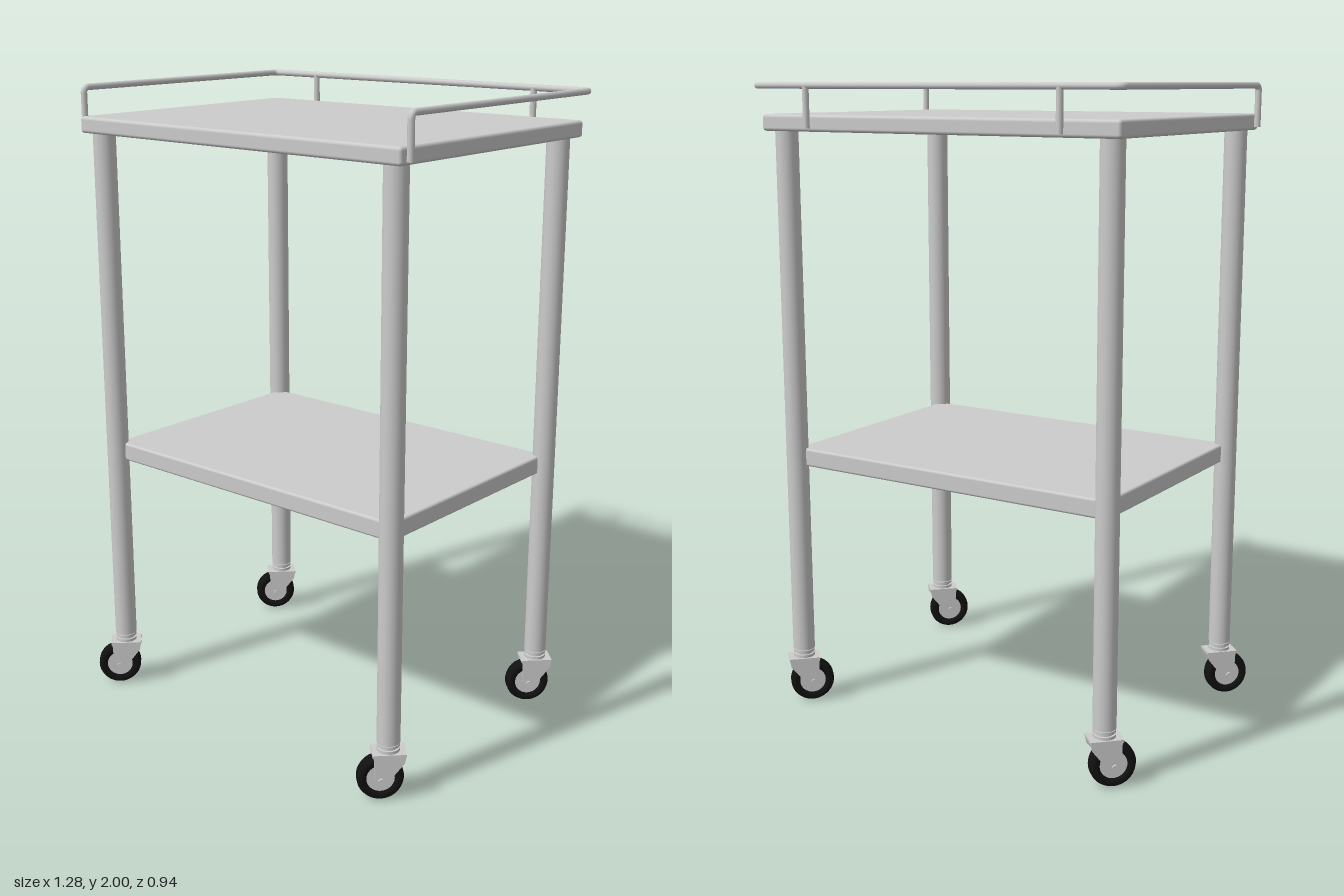
import * as THREE from 'three';
import { RoundedBoxGeometry } from 'three/addons/geometries/RoundedBoxGeometry.js';

const grey = new THREE.MeshStandardMaterial({ color: 0xcccccc });
const black = new THREE.MeshStandardMaterial({ color: 0x111111 });
const CX = 0.005, CZ = -0.005; // centre of the frame
const LEG_X = 0.565, LEG_Z = 0.394, LEG_R = 0.035;

function add(parent, name, geometry, x = 0, y = 0, z = 0, material = grey) {
  const mesh = new THREE.Mesh(geometry, material);
  mesh.name = name;
  mesh.position.set(x, y, z);
  parent.add(mesh);
  return mesh;
}

const cylinder = (r, h, n = 32) => new THREE.CylinderGeometry(r, r, h, n);

// Polyline whose inner corners are replaced by small bends
function bentPath(points, r) {
  const path = new THREE.CurvePath();
  let start = points[0];
  for (let i = 1; i < points.length - 1; i++) {
    const p = points[i];
    const before = p.clone().add(points[i - 1].clone().sub(p).setLength(r));
    const after = p.clone().add(points[i + 1].clone().sub(p).setLength(r));
    path.add(new THREE.LineCurve3(start, before));
    path.add(new THREE.QuadraticBezierCurve3(before, p, after));
    start = after;
  }
  path.add(new THREE.LineCurve3(start, points[points.length - 1]));
  return path;
}

// Swivel caster: local x is the rolling direction, local z the axle, origin under the leg
function createCaster() {
  const caster = new THREE.Group();
  caster.name = 'caster';
  const wx = 0.024, wy = 0.07;

  // Stem with collar rings
  add(caster, 'stem', cylinder(0.027, 0.04), 0, 0.167, 0);
  for (const y of [0.16, 0.175]) {
    add(caster, 'collarRing', cylinder(0.034, 0.009), 0, y, 0);
  }

  // Fork: top plate and two tapering cheeks
  add(caster, 'forkPlate', new THREE.BoxGeometry(0.1, 0.008, 0.068), 0, 0.149, 0);
  const cheek = new THREE.Shape();
  cheek.moveTo(-0.05, 0.152);
  cheek.lineTo(-0.045, 0.125);
  cheek.lineTo(wx - 0.019, wy - 0.008);
  cheek.absarc(wx, wy, 0.02, Math.PI * 1.13, Math.PI * 2, false);
  cheek.lineTo(0.045, 0.135);
  cheek.lineTo(0.05, 0.152);
  cheek.closePath();
  const cheekGeometry = new THREE.ExtrudeGeometry(cheek, { depth: 0.005, bevelEnabled: false });
  for (const z of [0.029, -0.034]) add(caster, 'forkCheek', cheekGeometry, 0, 0, z);
  add(caster, 'axle', cylinder(0.009, 0.08, 16), wx, wy, 0).rotation.x = Math.PI / 2;

  // Tyre with rounded shoulders, and hub disc
  const profile = [[0.042, -0.018], [0.05, -0.024], [0.06, -0.024], [0.066, -0.02], [0.07, -0.01],
    [0.07, 0.01], [0.066, 0.02], [0.06, 0.024], [0.05, 0.024], [0.042, 0.018], [0.042, -0.018]]
    .map(([r, h]) => new THREE.Vector2(r, h));
  add(caster, 'tyre', new THREE.LatheGeometry(profile, 40), wx, wy, 0, black).rotation.x = Math.PI / 2;
  add(caster, 'wheelDisc', cylinder(0.043, 0.034), wx, wy, 0).rotation.x = Math.PI / 2;
  add(caster, 'hub', cylinder(0.018, 0.056, 24), wx, wy, 0).rotation.x = Math.PI / 2;
  return caster;
}

export function createModel() {
  const trolley = new THREE.Group();
  trolley.name = 'trolley';

  // Shelves
  add(trolley, 'topShelf', new RoundedBoxGeometry(1.234, 0.05, 0.892, 3, 0.01), CX, 1.88, CZ - 0.002);
  add(trolley, 'lowerShelf', new RoundedBoxGeometry(LEG_X * 2, 0.058, LEG_Z * 2, 3, 0.008), CX, 0.831, CZ);

  // Legs and casters, all casters swivelled the same way
  for (const sx of [-1, 1]) {
    for (const sz of [-1, 1]) {
      const x = CX + sx * LEG_X, z = CZ + sz * LEG_Z;
      add(trolley, 'leg', cylinder(LEG_R, 1.68), x, 1.022, z);
      const caster = createCaster();
      caster.position.set(x, 0, z);
      caster.rotation.y = -Math.PI * 0.75;
      trolley.add(caster);
    }
  }

  // Guard rail around the back and sides, open at the front
  const rail = new THREE.Group();
  rail.name = 'guardRail';
  trolley.add(rail);
  const R = 0.01, x0 = CX - 0.626, x1 = CX + 0.626, zb = -0.464, zf = 0.41, low = 1.865, high = 1.99;
  const points = [[x0, low, zf], [x0, high, zf], [x0, high, zb], [x1, high, zb], [x1, high, zf], [x1, low, zf]]
    .map((p) => new THREE.Vector3(...p));
  add(rail, 'railTube', new THREE.TubeGeometry(bentPath(points, 0.018), 600, R, 12));
  for (const x of [x0, x1]) add(rail, 'railEnd', cylinder(R, 0.01, 12), x, low + 0.005, zf);
  for (const x of [-0.434, 0.436]) {
    add(rail, 'railPost', cylinder(R, high - low, 12), x, (high + low) / 2, zb);
  }
  return trolley;
}
